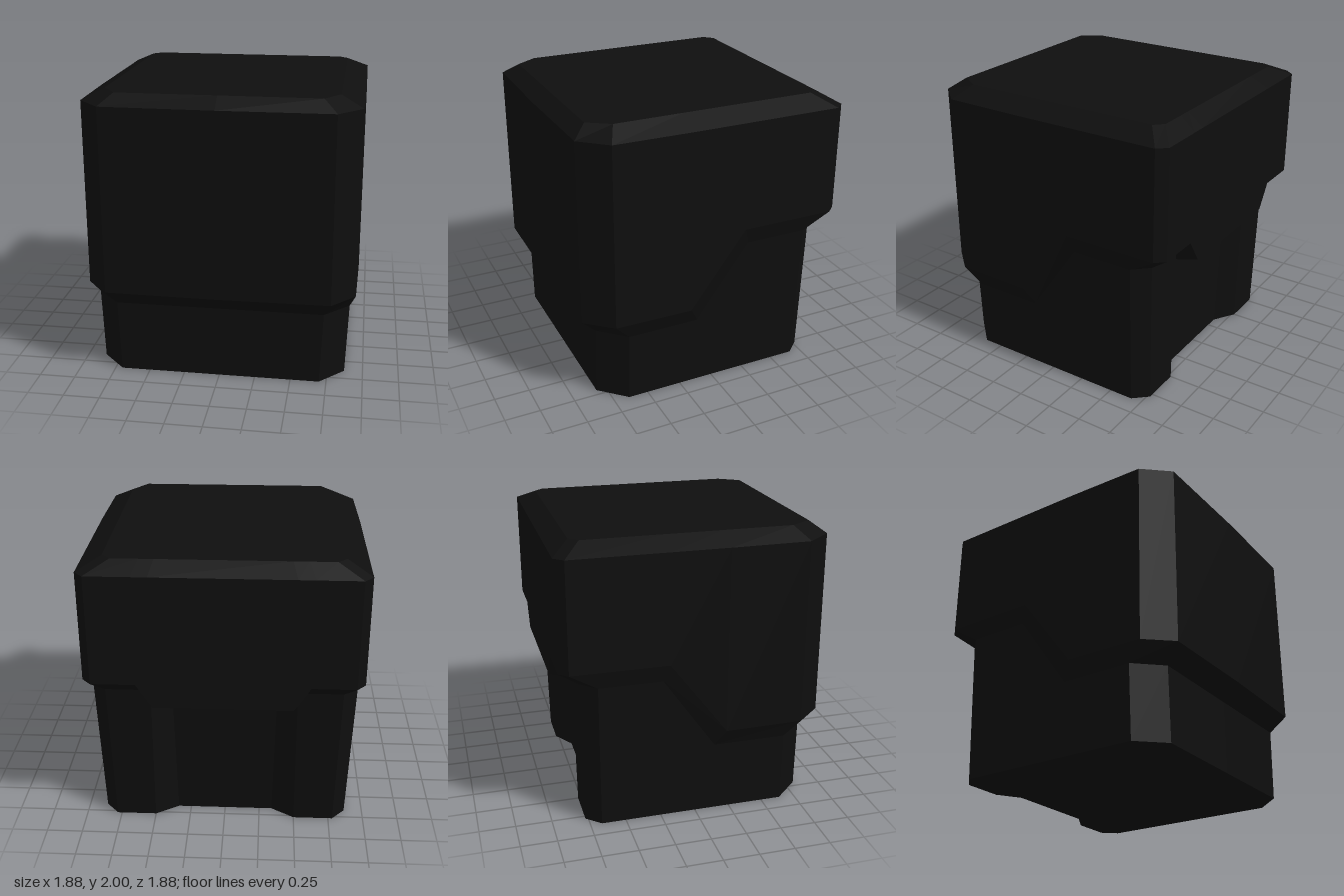
import * as THREE from 'three';

// Columns of the half outline, from the front middle round the left side to the back.
// foot: [x, z] at the ground; neck: [x, y, z] under the lip;
// lip: [x, y, z] lower rim of the shell; cap: [x, z] on the roof
const COLUMNS = [
  { foot: [0, 0.82], neck: [0, 0.51, 0.82], lip: [0, 0.63, 0.94], cap: [0, 0.83] },
  { foot: [0.7, 0.82], neck: [0.72, 0.51, 0.82], lip: [0.77, 0.63, 0.93], cap: [0.68, 0.83] },
  { foot: [0.87, 0.64], neck: [0.89, 0.51, 0.64], lip: [0.93, 0.63, 0.75], cap: [0.78, 0.68] },
  { foot: [0.87, 0.13], neck: [0.89, 0.51, 0.13], lip: [0.94, 0.63, 0.2], cap: [0.78, 0.2] },
  { foot: [0.87, -0.24], neck: [0.91, 1.04, -0.24], lip: [0.94, 1.16, -0.2], cap: [0.78, -0.2] },
  { foot: [0.87, -0.67], neck: [0.91, 1.04, -0.68], lip: [0.94, 1.16, -0.87], cap: [0.78, -0.75] },
  { foot: [0.78, -0.77], neck: [0.81, 1.04, -0.785], lip: [0.88, 1.16, -0.935], cap: [0.72, -0.81] },
  { foot: [0.5, -0.77], neck: [0.5, 1.04, -0.785], lip: [0.58, 1.16, -0.935], cap: [0.54, -0.81] },
  { foot: [0.34, -0.67], neck: [0.36, 0.87, -0.69], lip: [0.47, 0.99, -0.935], cap: [0.44, -0.81] },
];
const SHOULDER_Y = 1.925;
const TOP_Y = 2;

// Closed ring of points: the half outline plus its mirror image
function ring(pick) {
  const half = COLUMNS.map(pick);
  const mirrored = half.slice(1).reverse().map(([x, y, z]) => [-x, y, z]);
  return [...half, ...mirrored];
}

// Skin between consecutive rings, optionally closed at the bottom or top
function loft(rings, closeBottom, closeTop) {
  const positions = [];
  const n = rings[0].length;
  const tri = (a, b, c) => positions.push(...a, ...b, ...c);
  for (let i = 0; i < n; i++) {
    const j = (i + 1) % n;
    for (let r = 0; r < rings.length - 1; r++) {
      const low = rings[r], high = rings[r + 1];
      tri(low[i], low[j], high[j]);
      tri(low[i], high[j], high[i]);
    }
    const first = rings[0], last = rings[rings.length - 1];
    if (closeBottom) tri([0, first[0][1], 0], first[j], first[i]);
    if (closeTop) tri([0, last[0][1], 0], last[i], last[j]);
  }
  const geometry = new THREE.BufferGeometry();
  geometry.setAttribute('position', new THREE.Float32BufferAttribute(positions, 3));
  geometry.computeVertexNormals();
  return geometry;
}

export function createModel() {
  const group = new THREE.Group();
  group.name = 'chamferedBlock';
  const black = new THREE.MeshStandardMaterial({ color: 0x0e0e0e });
  black.name = 'black';

  const foot = ring((c) => [c.foot[0], 0, c.foot[1]]);
  const neck = ring((c) => c.neck);
  const lip = ring((c) => c.lip);
  const shoulder = ring((c) => [c.lip[0], SHOULDER_Y, c.lip[2]]);
  const cap = ring((c) => [c.cap[0], TOP_Y, c.cap[1]]);

  // Narrower lower block with a shallow channel down the back
  const base = new THREE.Mesh(loft([foot, neck], true, false), black);
  base.name = 'base';

  // Overhanging shell with a stepped lower rim and bevelled roof
  const shell = new THREE.Mesh(loft([neck, lip, shoulder, cap], false, true), black);
  shell.name = 'shell';

  group.add(base, shell);
  return group;
}
